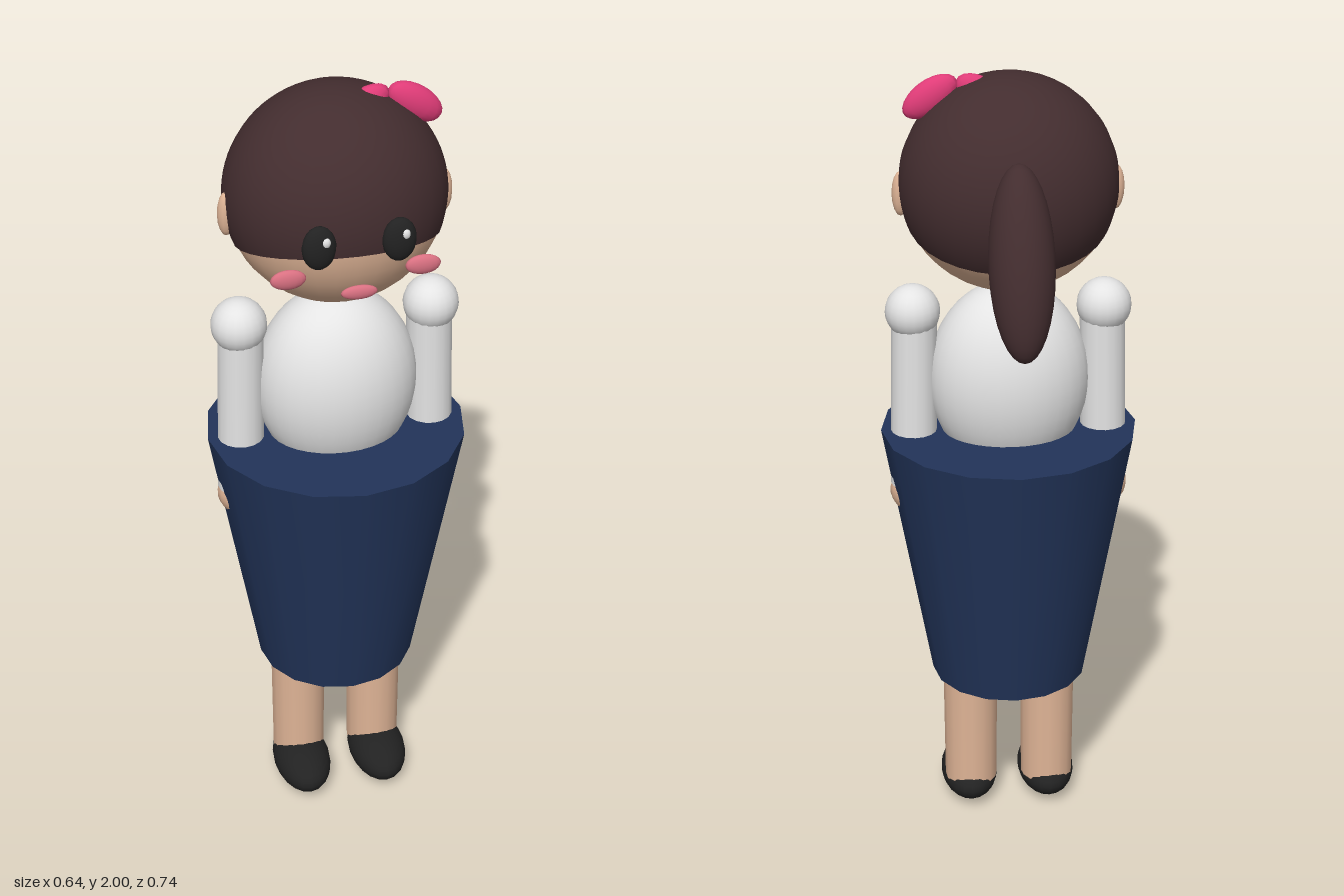
import * as THREE from 'three';

const material = (name, color) => {
  const m = new THREE.MeshStandardMaterial({ color });
  m.name = name;
  return m;
};

export function createModel() {
  const model = new THREE.Group();
  model.name = 'girl';
  const skin = material('skin', 0xdfb496);
  const hairBrown = material('hair brown', 0x432d2f);
  const white = material('shirt white', 0xe4e4e4);
  const navy = material('skirt navy', 0x223459);
  const black = material('black', 0x222222);
  const pink = material('bow pink', 0xe03c78);
  const blush = material('blush', 0xda7182);
  const axisZ = 0.053; // body axis, slightly forward of the centre

  const add = (parent, name, geometry, mat, pos) => {
    const mesh = new THREE.Mesh(geometry, mat);
    mesh.name = name;
    mesh.position.set(...pos);
    parent.add(mesh);
    return mesh;
  };
  const ellipsoid = (parent, name, mat, pos, radii, segments = 24) => {
    const mesh = add(parent, name, new THREE.SphereGeometry(1, segments, Math.round(segments * 0.7)), mat, pos);
    mesh.scale.set(...radii);
    return mesh;
  };

  // Head with a tilted cap of hair
  const head = new THREE.Group();
  head.name = 'head';
  model.add(head);
  const skull = new THREE.Group();
  skull.name = 'skull';
  skull.position.set(0, 1.733, 0.045);
  skull.scale.set(0.264, 0.266, 0.243);
  head.add(skull);
  add(skull, 'face', new THREE.SphereGeometry(0.99, 32, 24), skin, [0, 0, 0]);
  const hair = add(skull, 'hair', new THREE.SphereGeometry(1.004, 32, 24, 0, Math.PI * 2, 0, 1.98), hairBrown, [0, 0, 0]);
  hair.rotation.x = -0.26;

  // Ponytail and its tie
  const ponytail = ellipsoid(head, 'ponytail', hairBrown, [0, 1.638, -0.26], [0.078, 0.23, 0.082]);
  ponytail.rotation.x = 0.34;
  ellipsoid(head, 'hairTie', pink, [0, 1.8, -0.168], [0.045, 0.035, 0.03], 16);

  // Bow: two mirrored lobes
  for (const s of [-1, 1]) {
    const lobe = ellipsoid(head, 'bowLobe', pink, [0.123 + s * 0.063, 1.947, axisZ], [0.075, 0.04, 0.027], 16);
    lobe.rotation.z = -s * 0.61;
  }

  // Mouth
  ellipsoid(head, 'mouth', blush, [0, 1.603, 0.29], [0.043, 0.018, 0.01], 16);

  for (const s of [-1, 1]) {
    // Face details
    ellipsoid(head, 'ear', skin, [s * 0.26, 1.71, axisZ], [0.021, 0.056, 0.02], 12);
    ellipsoid(head, 'eye', black, [s * 0.093, 1.728, 0.287], [0.04, 0.055, 0.022], 16);
    ellipsoid(head, 'eyeHighlight', white, [s * 0.092 + 0.012, 1.747, 0.302], [0.011, 0.013, 0.008], 10);
    ellipsoid(head, 'cheek', blush, [s * 0.158, 1.637, 0.257], [0.042, 0.025, 0.013], 16);

    // Arm: shoulder, sleeve and a hand that just breaks through the skirt
    const arm = new THREE.Group();
    arm.name = s > 0 ? 'leftArm' : 'rightArm';
    model.add(arm);
    ellipsoid(arm, 'shoulder', white, [s * 0.236, 1.407, axisZ], [0.068, 0.068, 0.068], 20);
    const sleeve = add(arm, 'sleeve', new THREE.CylinderGeometry(0.056, 0.058, 0.46, 16), white, [s * 0.236, 1.175, axisZ]);
    sleeve.rotation.z = s * 0.018;
    ellipsoid(arm, 'hand', skin, [s * 0.24, 0.925, axisZ], [0.06, 0.06, 0.06], 16);

    // Leg and shoe
    const leg = new THREE.Group();
    leg.name = s > 0 ? 'leftLeg' : 'rightLeg';
    model.add(leg);
    add(leg, 'shin', new THREE.CylinderGeometry(0.072, 0.068, 0.5, 16), skin, [s * 0.101, 0.32, 0.055]);
    ellipsoid(leg, 'shoe', black, [s * 0.103, 0.06, 0.1], [0.074, 0.06, 0.13], 20);
  }

  // Torso and the closed, sixteen-sided skirt
  ellipsoid(model, 'torso', white, [0, 1.227, axisZ], [0.2, 0.248, 0.16], 32);
  add(model, 'skirt', new THREE.CylinderGeometry(0.32, 0.198, 0.685, 16), navy, [0, 0.748, axisZ]);

  return model;
}
